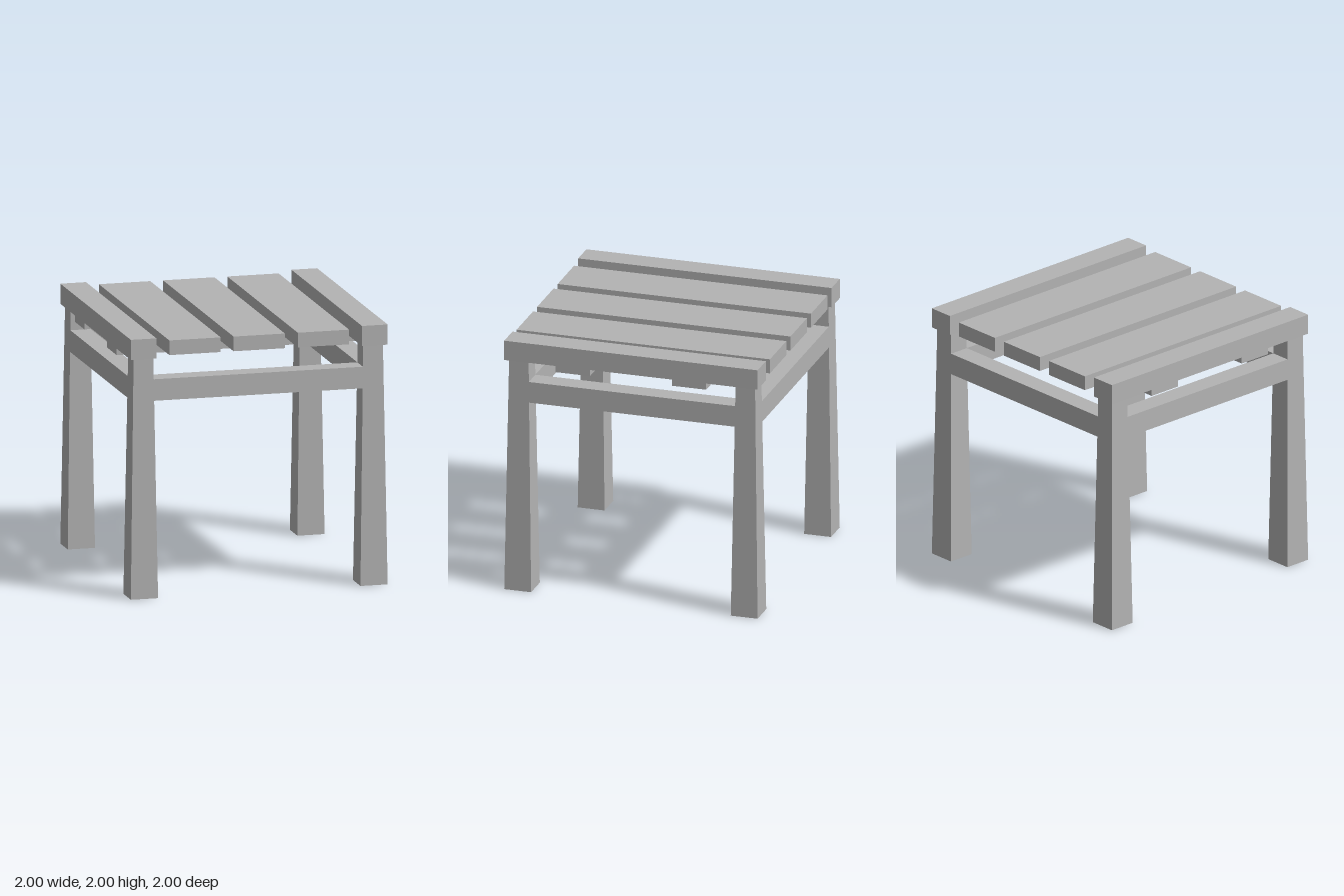
import * as THREE from 'three';

const wood = new THREE.MeshStandardMaterial({ color: 0xb3b3b3 });
wood.name = 'plain wood';

const LEG_HEIGHT = 1.845, LEG_CENTRE = 0.894;
// half thickness of a leg at height y
const legHalf = (y) => THREE.MathUtils.lerp(0.106, 0.077, y / LEG_HEIGHT);

function add(parent, name, geometry, x = 0, y = 0, z = 0) {
  const mesh = new THREE.Mesh(geometry, wood);
  mesh.name = name;
  mesh.position.set(x, y, z);
  parent.add(mesh);
  return mesh;
}

// box given by its lower and upper height
function board(parent, name, width, depth, y0, y1, x, z) {
  return add(parent, name, new THREE.BoxGeometry(width, y1 - y0, depth), x, (y0 + y1) / 2, z);
}

// square leg narrowing towards the top
function legGeometry() {
  const geometry = new THREE.BoxGeometry(2, LEG_HEIGHT, 2).translate(0, LEG_HEIGHT / 2, 0);
  const p = geometry.attributes.position;
  for (let i = 0; i < p.count; i++) {
    const half = legHalf(p.getY(i));
    p.setXYZ(i, p.getX(i) * half, p.getY(i), p.getZ(i) * half);
  }
  geometry.computeVertexNormals();
  return geometry;
}

// rail along x whose faces run flush with the tapered legs
function railGeometry(y0, y1) {
  const length = 2 * (LEG_CENTRE - legHalf(y0)) + 0.02;
  const geometry = new THREE.BoxGeometry(length, y1 - y0, 2).translate(0, (y0 + y1) / 2, 0);
  const p = geometry.attributes.position;
  for (let i = 0; i < p.count; i++) p.setZ(i, p.getZ(i) * legHalf(p.getY(i)));
  geometry.computeVertexNormals();
  return geometry;
}

export function createModel() {
  const table = new THREE.Group();
  table.name = 'slattedTable';

  // legs
  const leg = legGeometry();
  for (const sx of [-1, 1])
    for (const sz of [-1, 1])
      add(table, `${sz > 0 ? 'front' : 'back'}${sx > 0 ? 'Left' : 'Right'}Leg`, leg, sx * LEG_CENTRE, 0, sz * LEG_CENTRE);

  // rails joining the legs on all four sides
  const rail = railGeometry(1.515, 1.68);
  for (const s of [-1, 1]) {
    add(table, s > 0 ? 'frontRail' : 'backRail', rail, 0, 0, s * LEG_CENTRE);
    add(table, s > 0 ? 'leftRail' : 'rightRail', rail, s * LEG_CENTRE, 0, 0).rotation.y = Math.PI / 2;
  }

  // edge boards, and battens that carry the top
  for (const s of [-1, 1]) {
    board(table, s > 0 ? 'leftEdgeBoard' : 'rightEdgeBoard', 0.2, 2, LEG_HEIGHT, 2, s * 0.9, 0);
    board(table, s > 0 ? 'frontBatten' : 'backBatten', 1.998, 0.27, 1.795, 1.865, 0, s * 0.459);
  }

  // three wide planks
  for (const x of [-0.5, 0, 0.5]) board(table, 'topPlank', 0.4, 2, 1.865, 1.978, x, 0);

  return table;
}
